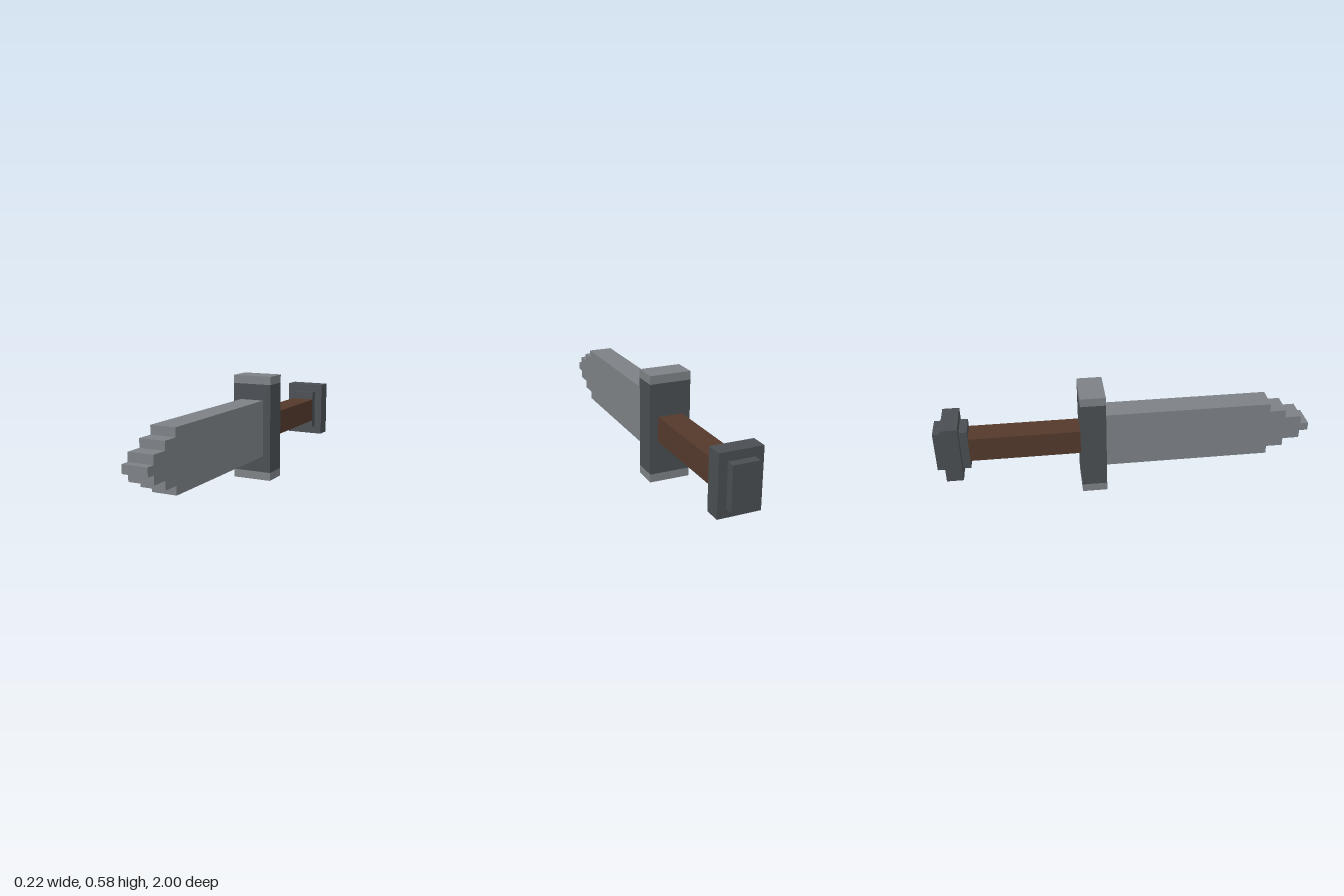
import * as THREE from 'three';

const MID = 0.29; // height of the dagger's axis
const NARROW = 0.134, WIDE = 0.222; // thicknesses along x

export function createModel() {
  const model = new THREE.Group();
  model.name = 'dagger';

  const material = (name, color) => {
    const m = new THREE.MeshStandardMaterial({ color });
    m.name = name;
    return m;
  };
  const steel = material('light steel', 0x7d8185);
  const iron = material('dark iron', 0x4a4e52);
  const wood = material('brown wood', 0x54392b);

  // Block centred on x = 0, spanning the given y and z ranges
  const block = (name, mat, width, y0, y1, z0, z1) => {
    const mesh = new THREE.Mesh(new THREE.BoxGeometry(width, y1 - y0, z1 - z0), mat);
    mesh.position.set(0, (y0 + y1) / 2, (z0 + z1) / 2);
    mesh.name = name;
    model.add(mesh);
  };

  // Blade: stepped outline in (z, y), mirrored about its axis
  const steps = [[-0.11, 0.156], [0.778, 0.156], [0.778, 0.111], [0.866, 0.111],
    [0.866, 0.067], [0.955, 0.067], [0.955, 0.022], [1, 0.022]];
  const outline = [
    ...steps.map(([z, h]) => new THREE.Vector2(z, MID - h)),
    ...steps.slice().reverse().map(([z, h]) => new THREE.Vector2(z, MID + h)),
  ];
  const bladeGeometry = new THREE.ExtrudeGeometry(new THREE.Shape(outline), { depth: NARROW, bevelEnabled: false });
  bladeGeometry.rotateY(-Math.PI / 2).translate(NARROW / 2, 0, 0);
  const blade = new THREE.Mesh(bladeGeometry, steel);
  blade.name = 'blade';
  model.add(blade);

  // Crossguard with pale ends
  block('guard', iron, WIDE, 0.045, 0.533, -0.243, -0.11);
  block('guardLowerEnd', steel, WIDE, 0, 0.045, -0.243, -0.11);
  block('guardUpperEnd', steel, WIDE, 0.533, 0.578, -0.243, -0.11);

  // Grip
  block('grip', wood, NARROW, MID - 0.067, MID + 0.067, -0.825, -0.243);

  // Pommel: wide plate between two smaller ones
  block('pommelCollar', iron, NARROW, MID - 0.111, MID + 0.111, -0.867, -0.825);
  block('pommelPlate', iron, WIDE, MID - 0.156, MID + 0.156, -0.955, -0.867);
  block('pommelCap', iron, NARROW, MID - 0.111, MID + 0.111, -1, -0.955);

  return model;
}
